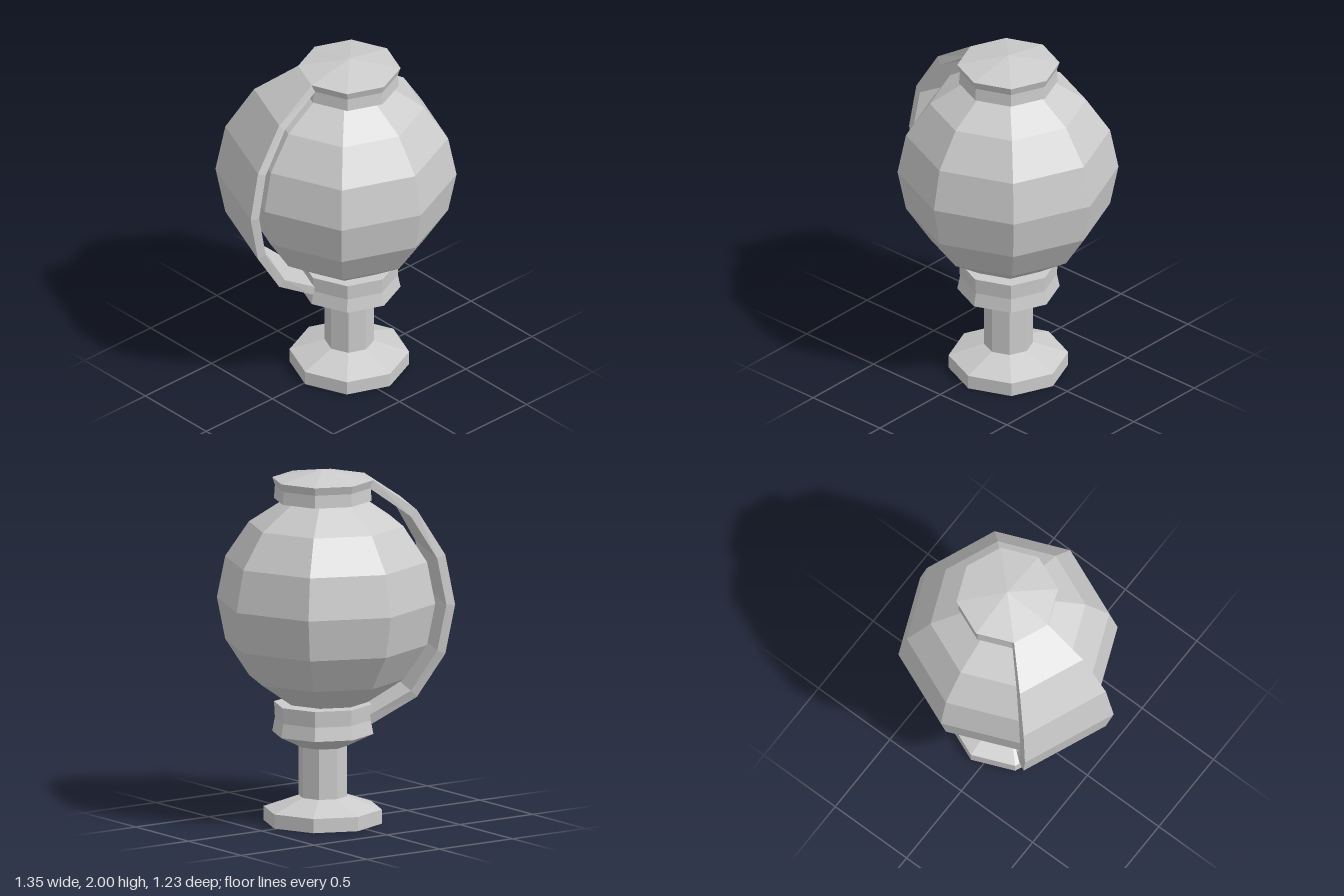
import * as THREE from 'three';

export function createModel() {
  const model = new THREE.Group();
  model.name = 'globeOnStand';
  const material = new THREE.MeshStandardMaterial({ color: 0xcccccc, flatShading: true });
  const AXIS_X = 0.07, AXIS_Z = 0.012; // axis of the stand, collar and cap

  const add = (name, geometry, x, y, z) => {
    const mesh = new THREE.Mesh(geometry, material);
    mesh.name = name;
    mesh.position.set(x, y, z);
    model.add(mesh);
  };
  // Eight-sided turned part, profile given bottom to top as [radius, y]
  const turned = (name, profile) => add(name,
    new THREE.LatheGeometry(profile.map(([r, y]) => new THREE.Vector2(r, y)), 8),
    AXIS_X, 0, AXIS_Z);

  // Foot and stem
  turned('base', [[0, 0], [0.333, 0], [0.333, 0.08], [0.137, 0.15], [0, 0.15]]);
  turned('stem', [[0.137, 0.14], [0.137, 0.445]]);

  // Collar under the globe and cap above it
  turned('collar', [[0, 0.435], [0.137, 0.435], [0.285, 0.507], [0.27, 0.585], [0.275, 0.675], [0, 0.675]]);
  turned('cap', [[0, 1.828], [0.275, 1.828], [0.27, 1.9], [0.285, 1.945], [0, 2]]);

  // Globe
  add('globe', new THREE.SphereGeometry(0.615, 8, 8), 0.056, 1.255, 0);

  // Curved guard panel over one eighth of the globe, joining collar to cap
  // Each row: [corner radius, y, tilt of the inward offset]
  const rows = [
    [0.278, 0.565, -1.1], [0.53, 0.725, -0.82], [0.69, 0.975, -0.4], [0.745, 1.255, 0],
    [0.69, 1.535, 0.4], [0.53, 1.785, 0.82], [0.285, 1.945, 1.1],
  ];
  const thickness = 0.05;
  const angleA = Math.PI, angleB = Math.PI * 1.25, middle = Math.PI * 1.125;
  const positions = [], index = [];
  const quad = (a, b, c, d) => index.push(a, b, c, a, c, d);
  rows.forEach(([r, y, tilt], i) => {
    const corner = (angle, depth) => {
      const inward = depth * Math.cos(tilt);
      positions.push(
        r * Math.cos(angle) - inward * Math.cos(middle),
        y - depth * Math.sin(tilt),
        r * Math.sin(angle) - inward * Math.sin(middle));
    };
    corner(angleB, 0);
    corner(angleA, 0);
    corner(angleA, thickness);
    corner(angleB, thickness);
    if (i === 0) return;
    const low = (i - 1) * 4, high = i * 4;
    for (let k = 0; k < 4; k++) {
      const n = (k + 1) % 4;
      quad(low + k, low + n, high + n, high + k);
    }
  });
  const last = (rows.length - 1) * 4;
  quad(3, 2, 1, 0);
  quad(last, last + 1, last + 2, last + 3);
  const panel = new THREE.BufferGeometry();
  panel.setAttribute('position', new THREE.Float32BufferAttribute(positions, 3));
  panel.setIndex(index);
  panel.computeVertexNormals();
  add('guardPanel', panel, AXIS_X, 0, AXIS_Z);

  return model;
}
